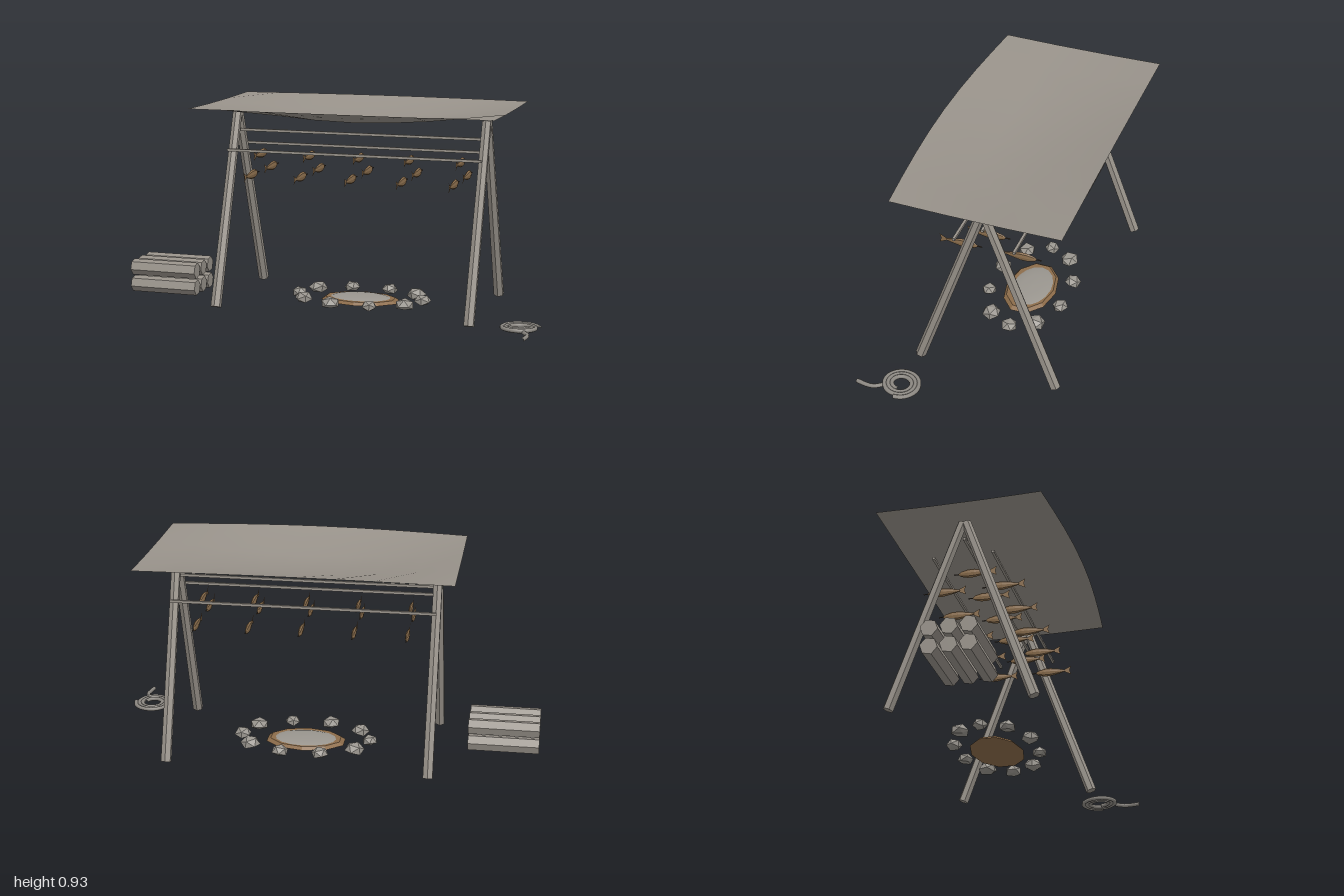
import * as THREE from 'three';

const mat = (name, color) => {
  const m = new THREE.MeshStandardMaterial({ color });
  m.name = name;
  return m;
};

// Give every face its own normal for a faceted look
function facet(geo) {
  const g = geo.index ? geo.toNonIndexed() : geo;
  g.computeVertexNormals();
  return g;
}

export function createModel() {
  const wood = mat('weathered wood', 0x98928a);
  const canvas = mat('grey canvas', 0x98928a);
  canvas.side = THREE.DoubleSide;
  const stone = mat('grey stone', 0x9a968f);
  const rope = mat('grey rope', 0x8e8a84);
  const earth = mat('brown earth', 0x8c6c4a);
  const fishSkin = mat('dried fish', 0x8a6d4c);
  fishSkin.side = THREE.DoubleSide;
  const dark = mat('dark snout', 0x4c4136);

  const root = new THREE.Group();
  root.name = 'fishDryingCamp';
  const add = (parent, name, geo, material, x = 0, y = 0, z = 0) => {
    const m = new THREE.Mesh(geo, material);
    m.name = name;
    m.position.set(x, y, z);
    parent.add(m);
    return m;
  };

  // Straight pole between two points
  function pole(name, a, b, rTop, rBottom, sides) {
    const from = new THREE.Vector3(...a), to = new THREE.Vector3(...b);
    const dir = to.clone().sub(from);
    const m = add(root, name, facet(new THREE.CylinderGeometry(rTop, rBottom, dir.length(), sides)), wood);
    m.position.copy(from).add(to).multiplyScalar(0.5);
    m.quaternion.setFromUnitVectors(new THREE.Vector3(0, 1, 0), dir.normalize());
  }

  // A-frame legs
  for (const x of [-0.52, 0.67]) {
    pole('frontLeg', [x, 0.01, 0.25], [x, 0.877, -0.054], 0.022, 0.025, 6);
    pole('backLeg', [x, 0.01, -0.39], [x, 0.877, -0.07], 0.022, 0.025, 6);
  }

  // Rails and the fish hung below each one
  const bodyGeo = facet(new THREE.LatheGeometry([
    [0, -0.086], [0.005, -0.085], [0.014, -0.05], [0.021, -0.012],
    [0.021, 0.018], [0.013, 0.048], [0, 0.064],
  ].map(p => new THREE.Vector2(...p)), 8));
  bodyGeo.rotateX(-Math.PI / 2).scale(0.45, 1, 1);
  bodyGeo.computeVertexNormals();
  const tailShape = new THREE.Shape([
    [-0.078, 0.004], [-0.078, -0.004], [-0.115, -0.022], [-0.108, 0], [-0.115, 0.022],
  ].map(p => new THREE.Vector2(...p)));
  const tailGeo = new THREE.ShapeGeometry(tailShape).rotateY(Math.PI / 2);
  const snoutGeo = new THREE.BoxGeometry(0.004, 0.004, 0.03);

  function fish(x, y, z) {
    const g = new THREE.Group();
    g.name = 'fish';
    g.position.set(x, y, z);
    add(g, 'fishBody', bodyGeo, fishSkin);
    add(g, 'fishTail', tailGeo, fishSkin);
    add(g, 'fishSnout', snoutGeo, dark, 0, 0, -0.066);
    root.add(g);
  }

  for (const [y, z] of [[0.795, -0.06], [0.715, 0.07], [0.715, -0.2]]) {
    add(root, 'rail', new THREE.BoxGeometry(1.2, 0.012, 0.012), wood, 0.075, y, z);
    for (let i = 0; i < 5; i++) fish(-0.4 + i * 0.239, y - 0.108, z);
  }

  // Sagging canopy
  const cols = 8, rows = 3;
  const cloth = new THREE.PlaneGeometry(1.4, 1, cols, rows).rotateX(-Math.PI / 2);
  const p = cloth.attributes.position;
  for (let i = 0; i < p.count; i++) {
    const bulge = Math.cos(Math.PI * p.getX(i) / 1.4);
    const t = p.getZ(i) + 0.5;
    const inner = t > 0.1 && t < 0.9;
    p.setY(i, inner ? 0.925 - 0.059 * bulge : 0.929 + 0.005 * bulge);
    p.setZ(i, -0.445 + t * (0.755 + 0.04 * bulge));
  }
  cloth.computeVertexNormals();
  add(root, 'canopy', cloth, canvas, 0.08);

  // Stacked firewood
  const logGeo = facet(new THREE.CylinderGeometry(0.038, 0.038, 0.325, 6));
  logGeo.rotateZ(Math.PI / 2).rotateX(0.2);
  for (const y of [0.056, 0.136])
    for (const z of [0.097, 0.015, -0.067]) add(root, 'log', logGeo, wood, -0.8375, y, z);

  // Fire pit: earth bed and a low mound of ash
  const bed = facet(new THREE.CylinderGeometry(0.17, 0.19, 0.014, 10));
  add(root, 'fireBed', bed.scale(1, 1, 0.64), earth, 0.08, 0.021, -0.065);
  const ash = new THREE.LatheGeometry([
    [0.145, 0], [0.12, 0.006], [0.07, 0.01], [0, 0.011],
  ].map(q => new THREE.Vector2(...q)), 16);
  add(root, 'ash', ash.scale(1, 1, 0.64), stone, 0.08, 0.0275, -0.07);

  // Ring of flat-bottomed stones
  for (let i = 0; i < 10; i++) {
    const a = i * Math.PI / 5;
    const size = 0.04 + 0.005 * Math.sin(i * 2.3);
    const rock = new THREE.IcosahedronGeometry(size, 0).rotateY(i * 1.7).rotateZ(0.35 * Math.sin(i * 3.1));
    rock.scale(1.05, 0.8, 1);
    const q = rock.attributes.position;
    for (let k = 0; k < q.count; k++) q.setY(k, Math.max(q.getY(k), -0.015));
    add(root, 'stone', facet(rock), stone, 0.08 + 0.3 * Math.cos(a), 0.03, -0.065 + 0.185 * Math.sin(a));
  }

  // Coiled rope with a loose end
  const coil = [];
  for (let i = 0; i <= 48; i++) {
    const a = i / 48 * Math.PI * 6, r = 0.036 + 0.05 * i / 48;
    coil.push(new THREE.Vector3(r * Math.cos(a), 0.003 * Math.sin(a), r * Math.sin(a)));
  }
  add(root, 'ropeCoil', new THREE.TubeGeometry(new THREE.CatmullRomCurve3(coil), 90, 0.01, 6),
    rope, 0.895, 0.024, 0.25);
  const end = [[0.03, 0, 0.07], [0.052, -0.001, 0.105], [0.054, -0.002, 0.14], [0.045, -0.002, 0.19]];
  add(root, 'ropeEnd', new THREE.TubeGeometry(
    new THREE.CatmullRomCurve3(end.map(v => new THREE.Vector3(...v))), 8, 0.01, 6), rope, 0.895, 0.022, 0.25);

  return root;
}
